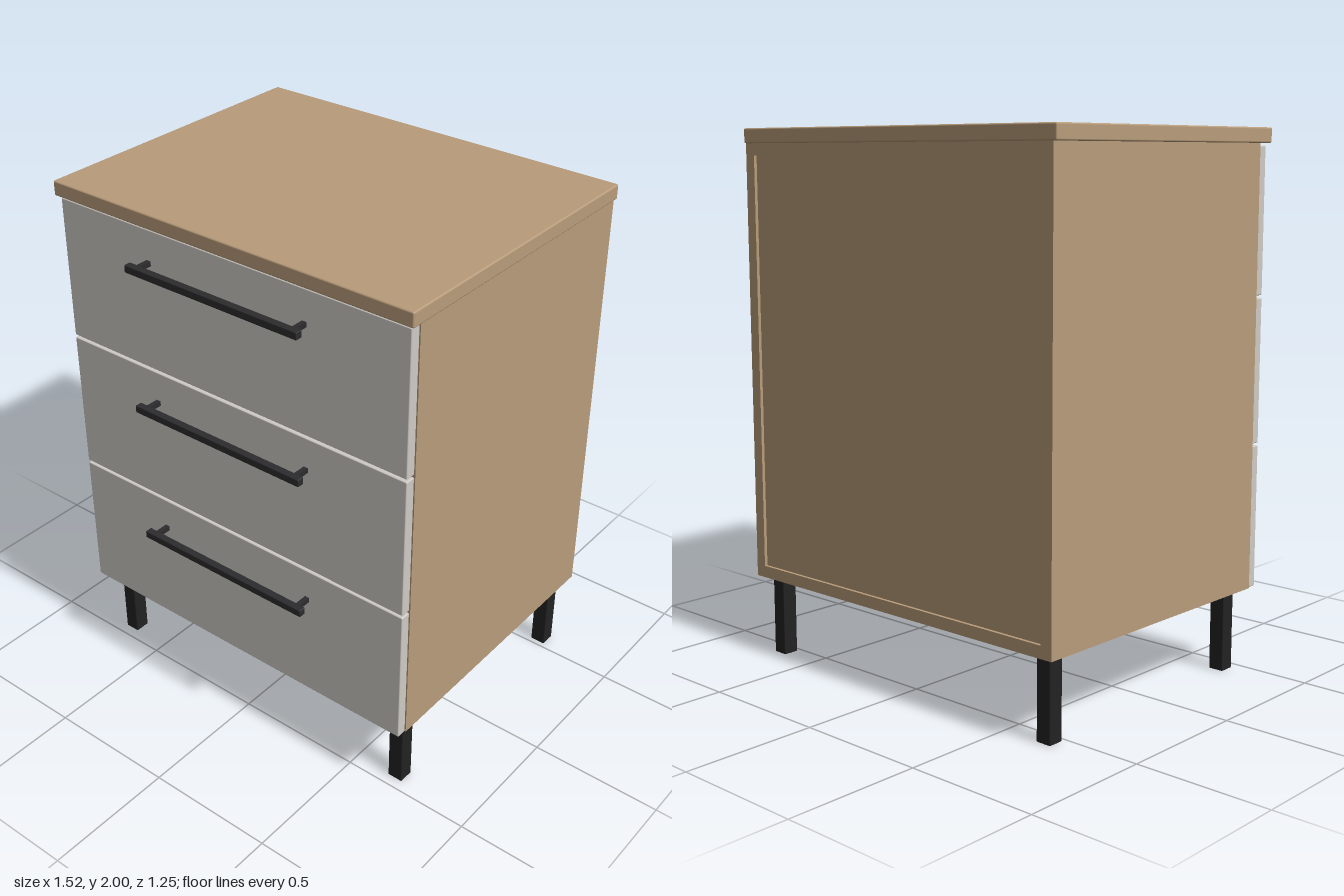
import * as THREE from 'three';
import { RoundedBoxGeometry } from 'three/addons/geometries/RoundedBoxGeometry.js';

export function createModel() {
  const model = new THREE.Group();
  const wood = new THREE.MeshStandardMaterial({ color: 0xb89c7a });
  const paint = new THREE.MeshStandardMaterial({ color: 0xcfcbc5 });
  const handleMetal = new THREE.MeshStandardMaterial({ color: 0x2c2c2e });
  const legMetal = new THREE.MeshStandardMaterial({ color: 0x222222 });

  // Box given by its ranges on each axis, with optional softened edges
  function block(parent, name, material, [x0, x1], [y0, y1], [z0, z1], bevel = 0) {
    const size = [x1 - x0, y1 - y0, z1 - z0];
    const geometry = bevel
      ? new RoundedBoxGeometry(...size, 2, bevel)
      : new THREE.BoxGeometry(...size);
    const mesh = new THREE.Mesh(geometry, material);
    mesh.name = name;
    mesh.position.set((x0 + x1) / 2, (y0 + y1) / 2, (z0 + z1) / 2);
    parent.add(mesh);
    return mesh;
  }

  const halfWidth = 0.747, bottom = 0.307, top = 1.945, board = 0.045;
  const back = -0.622, front = 0.503;
  const inner = halfWidth - board;

  // Carcass of boards, with the back panel set slightly in
  const carcass = new THREE.Group();
  carcass.name = 'carcass';
  model.add(carcass);
  block(carcass, 'leftSide', wood, [inner, halfWidth], [bottom, top], [back, front]);
  block(carcass, 'rightSide', wood, [-halfWidth, -inner], [bottom, top], [back, front]);
  block(carcass, 'bottomBoard', wood, [-inner, inner], [bottom, bottom + board], [back, front]);
  block(carcass, 'topRail', wood, [-inner, inner], [top - board, top], [back, front]);
  block(carcass, 'backPanel', wood, [-inner, inner], [bottom + board, top - board], [back + 0.012, back + 0.035]);

  // Overhanging worktop
  block(model, 'worktop', wood, [-0.76, 0.76], [top, 2], [back, 0.558], 0.006);

  // Three drawers, each with a bar handle on two posts
  for (let i = 0; i < 3; i++) {
    const drawer = new THREE.Group();
    drawer.name = 'drawer' + (i + 1);
    drawer.position.y = bottom + 0.001 + i * 0.546;
    model.add(drawer);
    block(drawer, 'drawerFront', paint, [-0.744, 0.744], [0, 0.536], [front, 0.543], 0.004);
    block(drawer, 'handleBar', handleMetal, [-0.37, 0.37], [0.399, 0.427], [0.596, 0.624], 0.003);
    for (const x of [-0.336, 0.336]) {
      block(drawer, 'handlePost', handleMetal, [x - 0.009, x + 0.009], [0.404, 0.422], [0.54, 0.6]);
    }
  }

  // Square legs
  for (const x of [-0.676, 0.676]) {
    for (const z of [0.43, -0.549]) {
      block(model, 'leg', legMetal, [x - 0.03, x + 0.03], [0, bottom + 0.004], [z - 0.03, z + 0.03], 0.004);
    }
  }
  return model;
}
